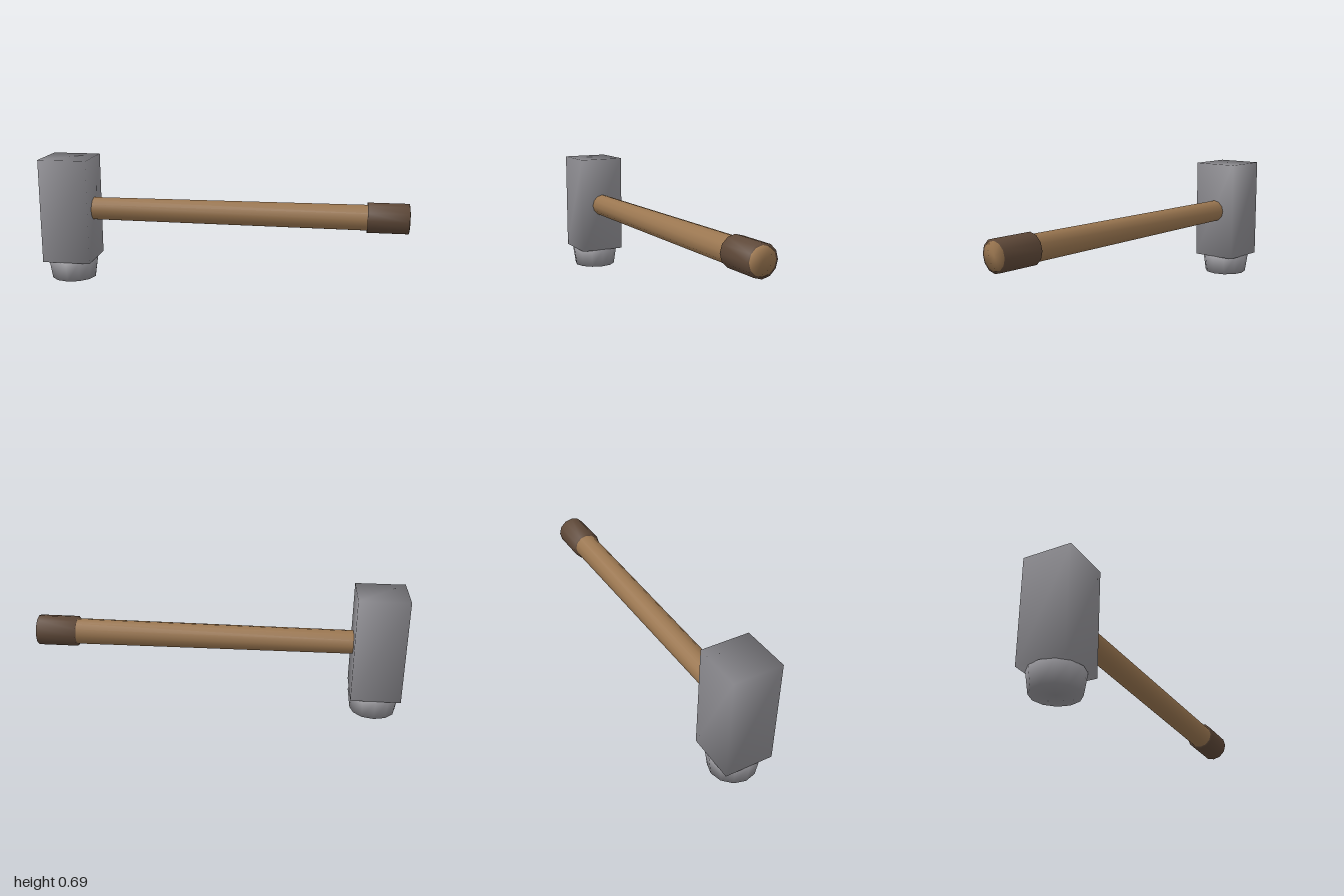
import * as THREE from 'three';
import { mergeVertices } from 'three/addons/utils/BufferGeometryUtils.js';

// Share vertices so the shading runs softly across every edge
function soften(geometry) {
  geometry.deleteAttribute('uv');
  geometry.deleteAttribute('normal');
  const merged = mergeVertices(geometry, 1e-4);
  merged.computeVertexNormals();
  return merged;
}

function material(name, color) {
  const m = new THREE.MeshStandardMaterial({ color });
  m.name = name;
  return m;
}

export function createModel() {
  const group = new THREE.Group();
  group.name = 'hammer';
  const steel = material('steel', 0x8e8d92);
  const wood = material('wood', 0x9a7650);
  const leather = material('dark grip', 0x5e4838);

  const headX = -0.86;
  const shaftY = 0.399;

  function add(name, geometry, mat, x, y) {
    const mesh = new THREE.Mesh(soften(geometry), mat);
    mesh.name = name;
    mesh.position.set(x, y, 0);
    group.add(mesh);
  }

  // Tapered rod lying along x, from x0 to x1
  function rod(name, x0, r0, x1, r1, mat) {
    const g = new THREE.CylinderGeometry(r1, r0, x1 - x0, 12).rotateZ(-Math.PI / 2);
    add(name, g, mat, (x0 + x1) / 2, shaftY);
  }

  // Block head and round striking face below it
  add('head', new THREE.BoxGeometry(0.268, 0.576, 0.264), steel, headX, 0.399);
  add('strikingFace', new THREE.CylinderGeometry(0.141, 0.124, 0.112, 12), steel, headX, 0.056);

  // Handle runs through the end grip and shows at its tip
  rod('handle', -0.8, 0.0635, 1.0, 0.0715, wood);
  rod('endGrip', 0.78, 0.083, 0.997, 0.083, leather);

  return group;
}
